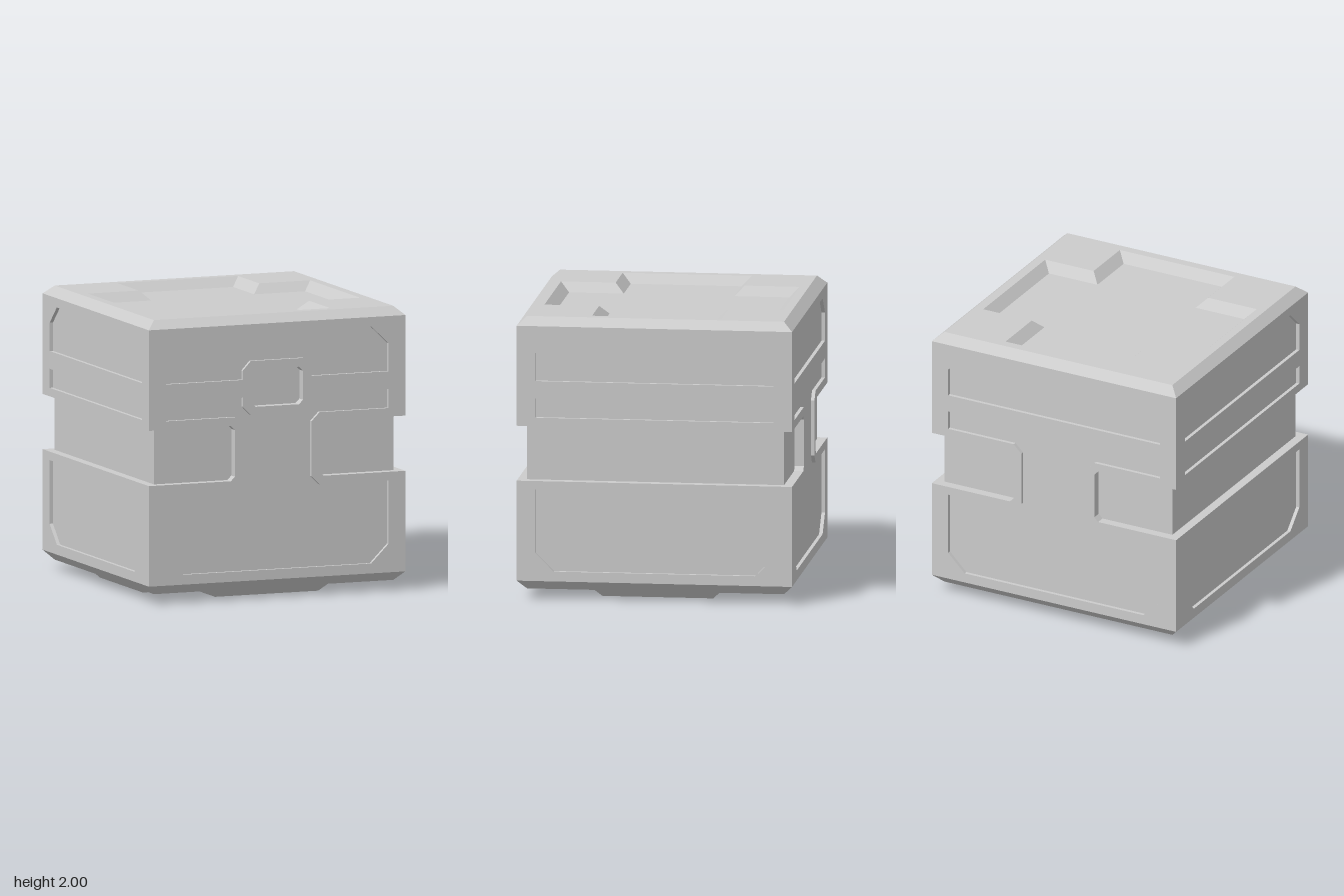
import * as THREE from 'three';

const OUT = 0.97, IN = 0.905;          // outer faces and recessed core, half widths
const BASE = 0.13, TOP = 1.94;         // vertical span of the side walls
const PANEL = 0.04;                    // thickness of the inset panels

const material = new THREE.MeshStandardMaterial({ color: 0xcccccc, flatShading: true });

const vectors = pts => pts.map(([x, y]) => new THREE.Vector2(x, y));

// Completes a right-hand outline (listed bottom to top) with its mirror image.
const mirrored = half => vectors([...half, ...half.map(([x, y]) => [-x, y]).reverse()]);

function add(group, name, geometry) {
  const mesh = new THREE.Mesh(geometry, material);
  mesh.name = name;
  group.add(mesh);
  return mesh;
}

function slab(outline, holes, depth) {
  const shape = new THREE.Shape(outline);
  holes.forEach(h => shape.holes.push(new THREE.Path(h)));
  return new THREE.ExtrudeGeometry(shape, { depth, bevelEnabled: false });
}

// Flat horizontal surface facing up or down.
function flat(outline, y, up, hole) {
  const shape = new THREE.Shape(outline);
  if (hole) shape.holes.push(new THREE.Path(hole));
  return new THREE.ShapeGeometry(shape).rotateX(up ? -Math.PI / 2 : Math.PI / 2).translate(0, y, 0);
}

// Sloped band joining two horizontal loops; going down makes it face inward.
function band(a, ya, b, yb) {
  const p = [];
  a.forEach((a0, i) => {
    const j = (i + 1) % a.length;
    const A = [a0.x, ya, -a0.y], B = [a[j].x, ya, -a[j].y];
    const C = [b[j].x, yb, -b[j].y], D = [b[i].x, yb, -b[i].y];
    p.push(...A, ...B, ...C, ...A, ...C, ...D);
  });
  const g = new THREE.BufferGeometry();
  g.setAttribute('position', new THREE.Float32BufferAttribute(p, 3));
  g.computeVertexNormals();
  return g;
}

const square = r => mirrored([[r, -r], [r, r]]);
const cross = (r, w) => mirrored([[w, -r], [w, -w], [r, -w], [r, w], [w, w], [w, r]]);
const rect = (w, y0, y1) => mirrored([[w, y0], [w, y1]]);

// Panel outlines shared by the walls
const lowerHalf = [[0.71, 0.2], [0.84, 0.33], [0.84, 0.78]];
const upperHalf = [[0.84, 1.55], [0.84, 1.75], [0.71, 1.875]];
const columnHalf = [...lowerHalf, [0.32, 0.78], [0.26, 0.84], [0.26, 1.23], [0.32, 1.29],
  [0.84, 1.29], [0.84, 1.425]];
const collarBottom = [[0.26, 1.425], [0.26, 1.36], [0.2, 1.3]];
const collarTop = [[0.2, 1.68], [0.26, 1.615], [0.26, 1.55]];
const socket = mirrored([[0.165, 1.355], [0.195, 1.385], [0.195, 1.59], [0.165, 1.62]]);

// Wall outline with a groove notch on each side
const notched = mirrored([[OUT, BASE], [OUT, 0.84], [0.35, 0.84], [0.32, 0.87],
  [0.32, 1.2], [0.35, 1.23], [OUT, 1.23], [OUT, TOP]]);

// One wall: frame slabs with openings, each filled by an inset panel.
function wall(name, angle, pieces) {
  const group = new THREE.Group();
  group.name = name;
  for (const { outline, panels, openings = [] } of pieces) {
    add(group, 'frame', slab(outline, [...panels, ...openings], OUT - IN)).position.z = IN;
    panels.forEach(p => add(group, 'insetPanel', slab(p, [], PANEL)).position.z = IN);
  }
  group.rotation.y = angle;
  return group;
}

export function createModel() {
  const model = new THREE.Group();
  model.name = 'crate';

  // Inner core, seen at the bottom of the grooves and socket
  add(model, 'core', new THREE.BoxGeometry(2 * IN, 1.77, 2 * IN)).position.y = BASE + 0.885;

  // Front and back walls
  model.add(wall('frontWall', 0, [{
    outline: notched,
    panels: [mirrored([...columnHalf, ...collarBottom]), mirrored([...collarTop, ...upperHalf])],
    openings: [socket],
  }]));
  model.add(wall('backWall', Math.PI, [{
    outline: notched,
    panels: [mirrored(columnHalf), mirrored(upperHalf)],
  }]));

  // Side walls, split by the full-width groove
  for (const s of [1, -1]) {
    model.add(wall(s > 0 ? 'leftWall' : 'rightWall', s * Math.PI / 2, [
      { outline: rect(IN, BASE, 0.84), panels: [mirrored(lowerHalf)] },
      { outline: rect(IN, 1.23, TOP), panels: [rect(0.84, 1.29, 1.425), mirrored(upperHalf)] },
    ]));
  }

  // Lid with a cross-shaped recess
  const wide = cross(0.84, 0.455), narrow = cross(0.775, 0.39);
  add(model, 'topChamfer', band(square(OUT), TOP, square(IN), 2));
  add(model, 'topSurface', flat(square(IN), 2, true, wide));
  add(model, 'recessWalls', band(wide, 2, narrow, 1.935));
  add(model, 'recessFloor', flat(narrow, 1.935, true));

  // Underside with a matching raised cross foot
  add(model, 'bottomChamfer', band(square(IN), 0.065, square(OUT), BASE));
  add(model, 'bottomSurface', flat(square(IN), 0.065, false, wide));
  add(model, 'footWalls', band(narrow, 0, wide, 0.065));
  add(model, 'footSole', flat(narrow, 0, false));

  return model;
}
